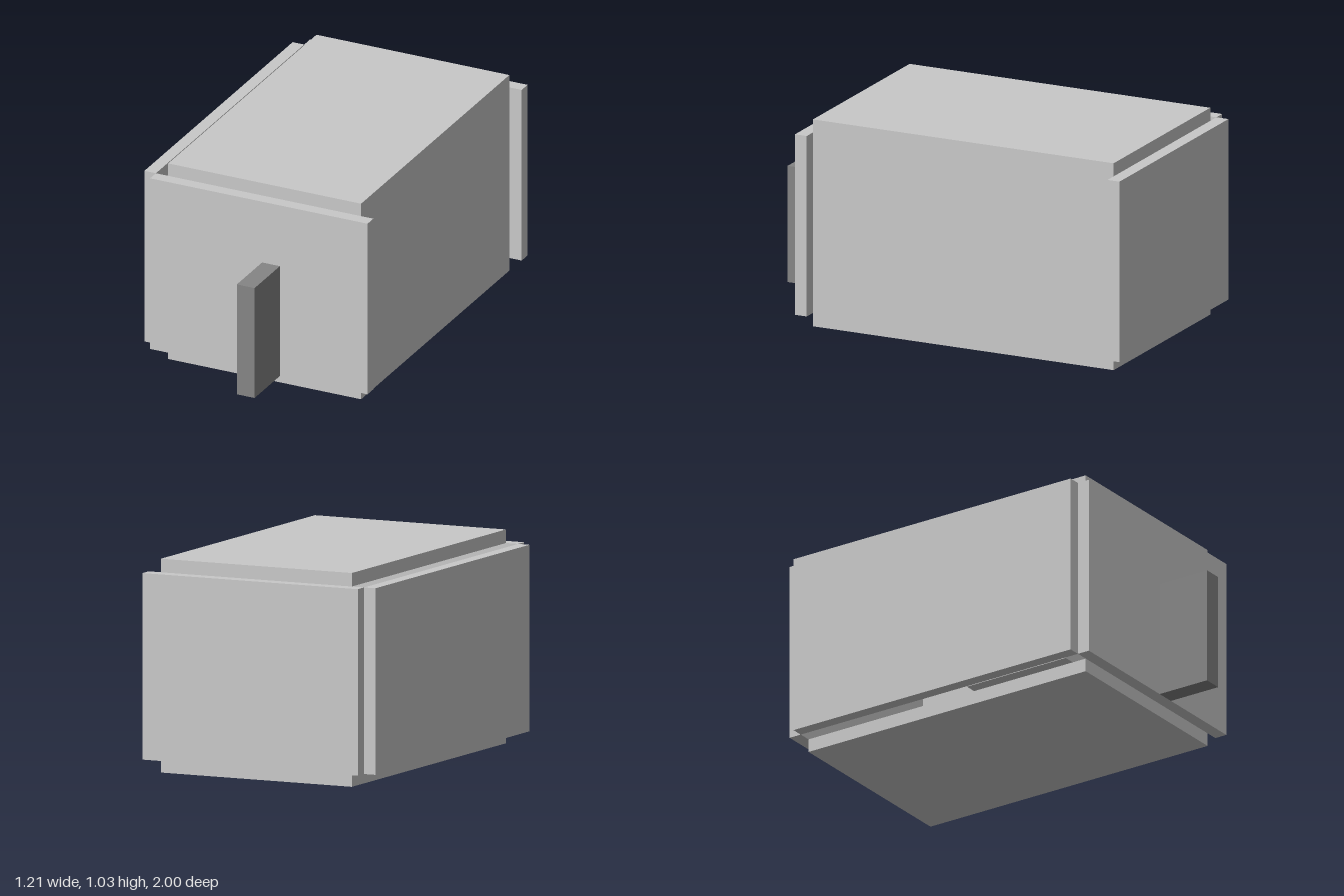
import * as THREE from 'three';

export function createModel() {
  const model = new THREE.Group();
  const lightGrey = new THREE.MeshStandardMaterial({ color: 0xc8c8c8 });
  lightGrey.name = 'light grey';
  const darkGrey = new THREE.MeshStandardMaterial({ color: 0x858585 });
  darkGrey.name = 'dark grey';

  // Box given by its limits along each axis
  function block(name, material, [x0, x1], [y0, y1], [z0, z1]) {
    const mesh = new THREE.Mesh(new THREE.BoxGeometry(x1 - x0, y1 - y0, z1 - z0), material);
    mesh.position.set((x0 + x1) / 2, (y0 + y1) / 2, (z0 + z1) / 2);
    mesh.name = name;
    model.add(mesh);
  }

  const wallY = [0.066, 0.962];
  const depth = [-0.936, 0.664];

  // Shell: floor, roof and left wall form one flush C section
  const section = new THREE.Shape([
    [-0.48, 0], [0.541, 0], [0.541, 1.027], [-0.48, 1.027],
    [-0.48, 0.962], [0.477, 0.962], [0.477, 0.066], [-0.48, 0.066],
  ].map(([x, y]) => new THREE.Vector2(x, y)));
  const shell = new THREE.Mesh(
    new THREE.ExtrudeGeometry(section, { depth: depth[1] - depth[0], bevelEnabled: false }),
    lightGrey,
  );
  shell.position.z = depth[0];
  shell.name = 'shell';
  model.add(shell);

  // Offset panels closing the other three sides
  block('rightPanel', lightGrey, [-0.606, -0.545], wallY, depth);
  block('frontPanel', lightGrey, [-0.545, 0.606], wallY, [0.664, 0.727]);
  block('backPanel', lightGrey, [-0.545, 0.606], wallY, [-1, -0.936]);

  // Upright handle on the front
  block('handle', darkGrey, [0.048, 0.142], [0.066, 0.643], [0.727, 1]);

  // Inner fittings glimpsed through the slit beside the roof
  block('innerBench', lightGrey, [-0.54, 0.0], [0.066, 0.35], [0.02, 0.59]);
  block('innerBlock', darkGrey, [0.0, 0.1], [0.066, 0.6], [0.28, 0.58]);
  for (let i = 0; i < 4; i++) {
    const x = -0.537 + i * 0.016;
    const z = 0.405 - i * 0.026;
    block('innerPeg', darkGrey, [x - 0.008, x + 0.008], [0.35, 0.37], [z - 0.007, z + 0.007]);
  }

  return model;
}
